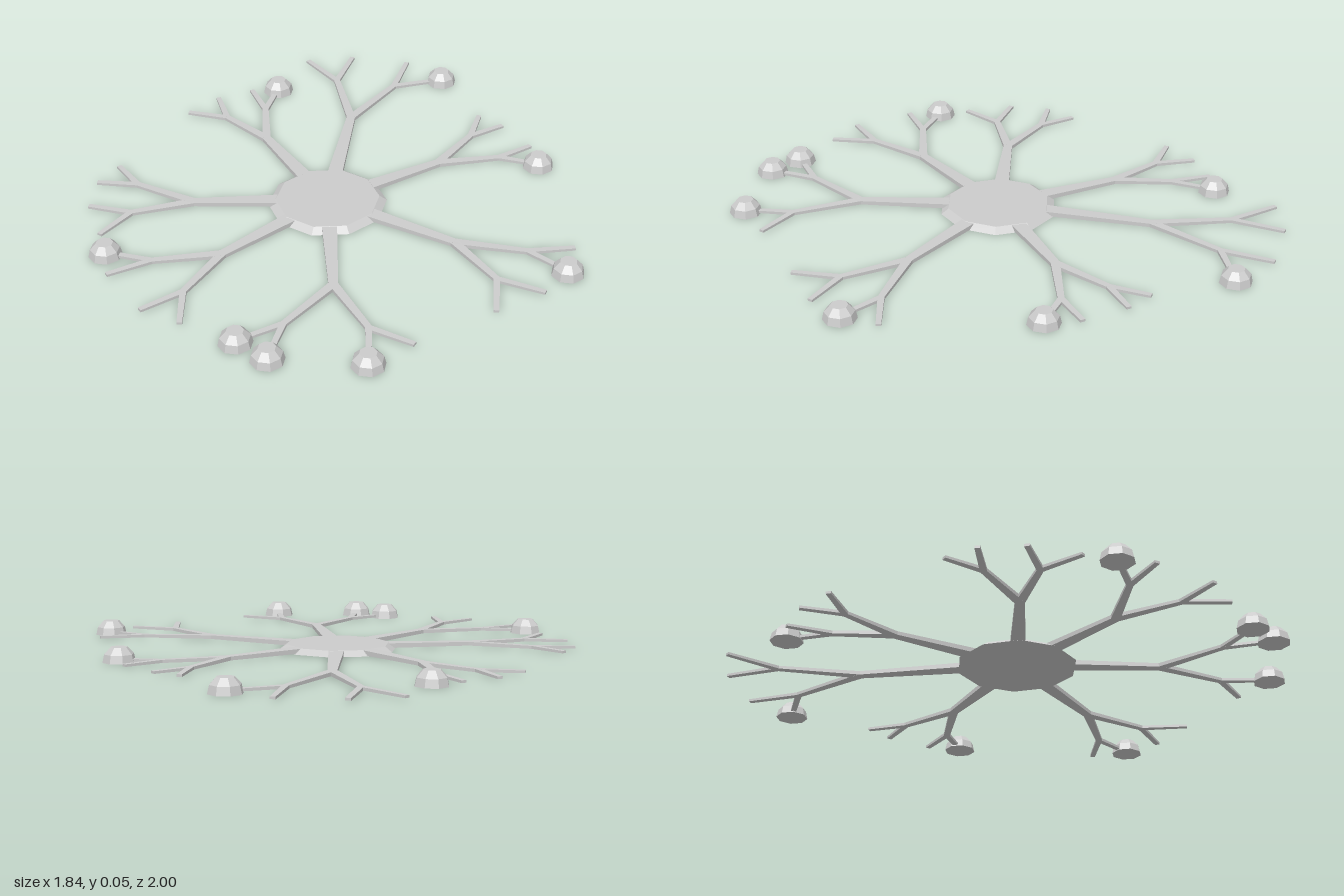
import * as THREE from 'three';

const HUB = [-0.1, 0.06];

// Each arm: fork point, then two branches, each with a joint and two tips.
// A tip is [x, z], with a third value of 1 where it carries a dome.
const ARMS = [
  { fork: [-0.34, -0.48], branches: [
    { joint: [-0.55, -0.7], tips: [[-0.745, -0.775], [-0.6, -0.9]] },
    { joint: [-0.325, -0.79], tips: [[-0.38, -0.985], [-0.185, -0.94, 1]] }] },
  { fork: [0.125, -0.38], branches: [
    { joint: [0.135, -0.62], tips: [[0.09, -0.77], [0.205, -0.755]] },
    { joint: [0.305, -0.54], tips: [[0.37, -0.68], [0.455, -0.58, 1]] }] },
  { fork: [0.435, 0.045], branches: [
    { joint: [0.685, -0.05], tips: [[0.82, -0.16], [0.86, -0.02, 1]] },
    { joint: [0.67, 0.155], tips: [[0.85, 0.13], [0.755, 0.315]] }] },
  { fork: [0.205, 0.49], branches: [
    { joint: [0.435, 0.625], tips: [[0.61, 0.615], [0.53, 0.78, 1]] },
    { joint: [0.18, 0.76], tips: [[0.095, 0.92, 1], [0.235, 0.935, 1]] }] },
  { fork: [-0.23, 0.55], branches: [
    { joint: [-0.42, 0.715], tips: [[-0.59, 0.765, 1], [-0.505, 0.865]] },
    { joint: [-0.215, 0.8], tips: [[-0.28, 0.96], [-0.12, 0.945]] }] },
  { fork: [-0.515, 0.34], branches: [
    { joint: [-0.765, 0.36], tips: [[-0.905, 0.3], [-0.905, 0.43]] },
    { joint: [-0.67, 0.52], tips: [[-0.83, 0.57], [-0.68, 0.69]] }] },
  { fork: [-0.54, -0.17], branches: [
    { joint: [-0.765, -0.215], tips: [[-0.885, -0.32], [-0.92, -0.165]] },
    { joint: [-0.67, -0.35], tips: [[-0.805, -0.445], [-0.72, -0.515, 1]] }] },
];

export function createModel() {
  const model = new THREE.Group();
  model.name = 'branchingDisc';
  const grey = new THREE.MeshStandardMaterial({ color: 0xcccccc, flatShading: true });
  grey.name = 'lightGrey';

  function add(parent, name, geometry) {
    const mesh = new THREE.Mesh(geometry, grey);
    mesh.name = name;
    parent.add(mesh);
    return mesh;
  }

  // Flat tapered strip from a to b; the ends give [width, bottom, top]
  function strip(parent, name, a, b, startSize, endSize) {
    const dx = b[0] - a[0], dz = b[1] - a[1];
    const length = Math.hypot(dx, dz);
    const geometry = new THREE.BoxGeometry(1, 1, length);
    const p = geometry.attributes.position;
    for (let i = 0; i < p.count; i++) {
      const [width, bottom, top] = p.getZ(i) < 0 ? startSize : endSize;
      p.setX(i, p.getX(i) * width);
      p.setY(i, p.getY(i) < 0 ? bottom : top);
    }
    geometry.computeVertexNormals();
    const mesh = add(parent, name, geometry);
    mesh.position.set((a[0] + b[0]) / 2, 0, (a[1] + b[1]) / 2);
    mesh.rotation.y = Math.atan2(dx, dz);
  }

  // Ten-sided hub with a sloping rim
  const hub = add(model, 'hub', new THREE.CylinderGeometry(0.195, 0.223, 0.02, 10));
  hub.position.set(HUB[0], 0.01, HUB[1]);
  hub.rotation.y = Math.PI / 2;

  // Eight-sided dome with a flat top
  const domeGeometry = new THREE.LatheGeometry(
    [[0, 0], [0.061, 0], [0.054, 0.03], [0.031, 0.055], [0, 0.055]]
      .map(([r, y]) => new THREE.Vector2(r, y)), 8);

  const rootSize = [0.058, 0.001, 0.019];
  const forkSize = [0.034, 0.003, 0.017];
  const jointSize = [0.024, 0.004, 0.015];
  const tipSize = [0.019, 0.005, 0.014];

  // Arms: trunk, two branches, four twigs
  for (const { fork, branches } of ARMS) {
    const arm = new THREE.Group();
    arm.name = 'arm';
    model.add(arm);
    const reach = 0.15 / Math.hypot(fork[0] - HUB[0], fork[1] - HUB[1]);
    const root = HUB.map((h, i) => h + (fork[i] - h) * reach);
    strip(arm, 'trunk', root, fork, rootSize, forkSize);
    for (const { joint, tips } of branches) {
      strip(arm, 'branch', fork, joint, forkSize, jointSize);
      for (const tip of tips) {
        strip(arm, 'twig', joint, tip, jointSize, tipSize);
        if (tip[2]) add(arm, 'dome', domeGeometry).position.set(tip[0], 0, tip[1]);
      }
    }
  }
  return model;
}
